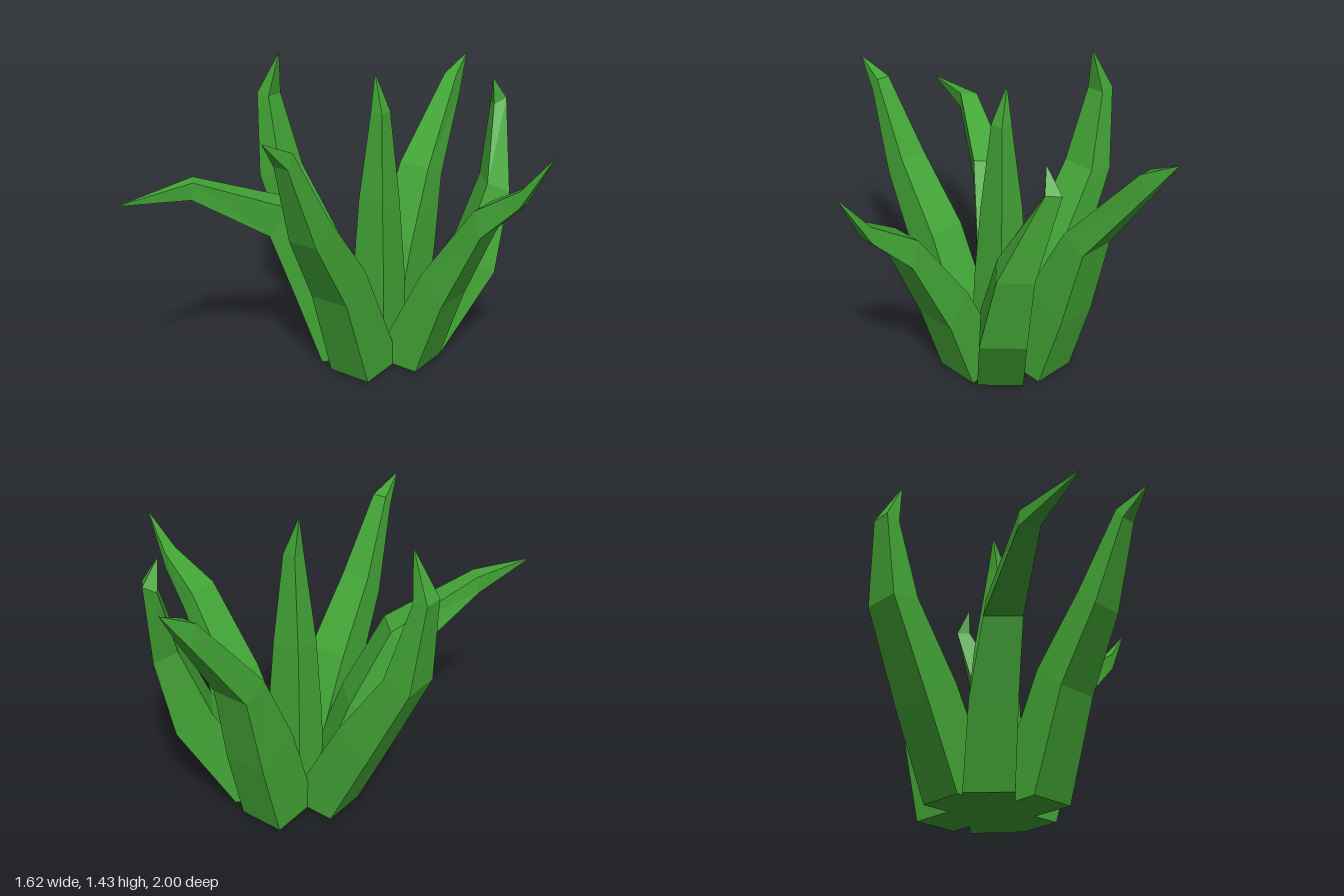
import * as THREE from 'three';

const CENTER = [-0.115, -0.1];
const green = new THREE.MeshStandardMaterial({ color: 0x43a636, flatShading: true });

// A four-sided tapering leaf. Each ring is
// [outer radius, outer y, inner radius, inner y, sideways shift, half width];
// the tip is [radius, y, sideways shift]. dir is the (x, z) heading of the leaf.
function leaf(name, dir, rings, tip) {
  const len = Math.hypot(dir[0], dir[1]);
  const dx = dir[0] / len, dz = dir[1] / len;
  const at = (r, y, s) => [CENTER[0] + dx * r - dz * s, y, CENTER[1] + dz * r + dx * s];

  const points = [];
  for (const [ro, yo, ri, yi, s, w] of rings) {
    points.push(at(ro, yo, s - w), at(ro, yo, s + w), at(ri, yi, s + w * 0.95), at(ri, yi, s - w * 0.95));
  }
  points.push(at(...tip));

  const index = [0, 1, 2, 0, 2, 3]; // underside
  const last = rings.length - 1;
  for (let k = 0; k <= last; k++) {
    for (let j = 0; j < 4; j++) {
      const a = k * 4 + j, b = k * 4 + (j + 1) % 4;
      if (k === last) index.push(b, a, points.length - 1);
      else index.push(b, a, a + 4, b, a + 4, b + 4);
    }
  }
  const indexed = new THREE.BufferGeometry();
  indexed.setAttribute('position', new THREE.Float32BufferAttribute(points.flat(), 3));
  indexed.setIndex(index);
  const geometry = indexed.toNonIndexed();
  geometry.computeVertexNormals();
  const mesh = new THREE.Mesh(geometry, green);
  mesh.name = name;
  return mesh;
}

export function createModel() {
  const group = new THREE.Group();
  group.name = 'leafyPlant';
  group.add(
    // upright middle leaf
    leaf('centerLeaf', [1, 0], [
      [0.1, 0, -0.1, 0, 0, 0.1],
      [0.095, 0.4, -0.09, 0.4, 0, 0.09],
      [0.075, 0.8, -0.065, 0.8, 0, 0.07],
      [0.047, 1.23, -0.017, 1.23, 0, 0.034],
    ], [-0.015, 1.41, 0]),
    // leaves leaning outwards
    leaf('leftLeaf', [1, 0], [
      [0.295, 0, 0.05, 0, 0, 0.11],
      [0.43, 0.38, 0.315, 0.52, 0, 0.105],
      [0.615, 0.77, 0.575, 0.89, 0.01, 0.08],
      [0.785, 0.94, 0.785, 1.02, 0.018, 0.04],
    ], [0.925, 1.19, 0.02]),
    leaf('rightLeaf', [-1, 0], [
      [0.295, 0, 0.05, 0, 0, 0.11],
      [0.475, 0.39, 0.31, 0.5, 0, 0.105],
      [0.665, 0.81, 0.53, 0.84, 0, 0.09],
      [0.695, 1.22, 0.625, 1.21, 0, 0.048],
    ], [0.585, 1.43, 0]),
    leaf('frontLeaf', [0, 1], [
      [0.32, 0, 0.05, 0, -0.055, 0.11],
      [0.47, 0.46, 0.32, 0.58, -0.06, 0.1],
      [0.65, 0.8, 0.55, 0.9, -0.066, 0.075],
      [0.785, 1.19, 0.745, 1.25, -0.075, 0.037],
    ], [0.9, 1.325, -0.08]),
    leaf('backLeaf', [0, -1], [
      [0.32, 0, 0.05, 0, -0.05, 0.11],
      [0.43, 0.38, 0.22, 0.48, -0.055, 0.105],
      [0.52, 0.78, 0.4, 0.84, -0.06, 0.09],
      [0.78, 1.15, 0.74, 1.24, -0.065, 0.037],
    ], [0.9, 1.325, -0.065]),
    // curling diagonal leaves
    leaf('frontRightLeaf', [-1, 1], [
      [0.3, 0, 0.05, 0, 0, 0.11],
      [0.42, 0.37, 0.24, 0.49, -0.02, 0.105],
      [0.53, 0.7, 0.43, 0.83, -0.06, 0.085],
      [0.87, 0.93, 0.86, 1.01, -0.175, 0.045],
    ], [1.184, 0.98, -0.371]),
    leaf('backLeftLeaf', [1, -1], [
      [0.3, 0, 0.05, 0, 0, 0.11],
      [0.56, 0.41, 0.39, 0.5, -0.005, 0.105],
      [0.64, 0.8, 0.53, 0.85, -0.05, 0.08],
      [0.66, 1.22, 0.6, 1.19, -0.19, 0.035],
    ], [0.59, 1.325, -0.16]),
  );
  return group;
}
